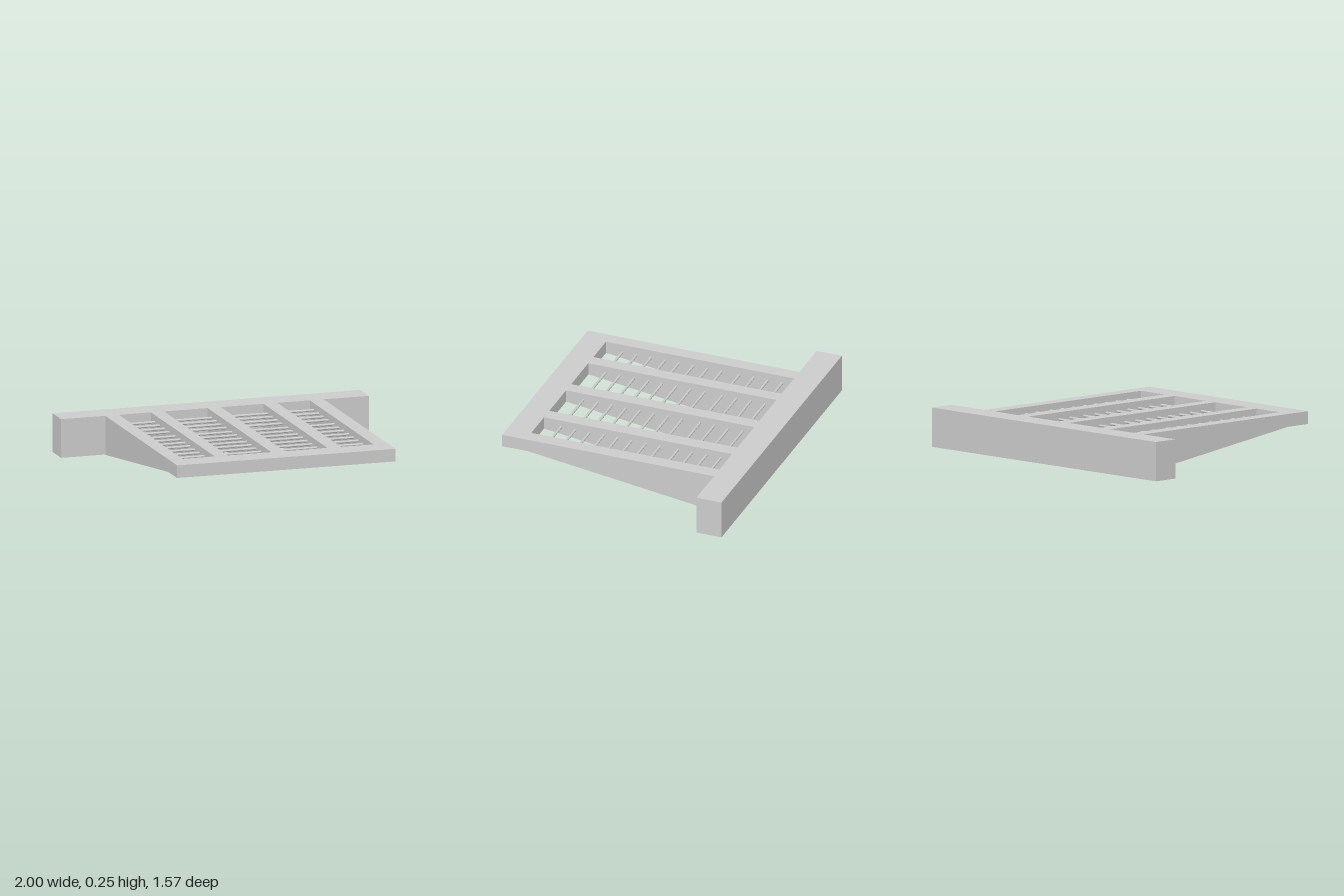
import * as THREE from 'three';

export function createModel() {
  const group = new THREE.Group();
  const material = new THREE.MeshStandardMaterial({ color: 0xcccccc, flatShading: true });
  const top = 0.245, lip = 0.165;      // upper surface, underside of the front beam
  const back = -0.62, front = 0.63;    // ends of the openings

  const add = (name, geometry) => {
    const mesh = new THREE.Mesh(geometry, material);
    mesh.name = name;
    group.add(mesh);
    return mesh;
  };
  const box = (name, x0, x1, y0, y1, z0, z1) =>
    add(name, new THREE.BoxGeometry(x1 - x0, y1 - y0, z1 - z0))
      .position.set((x0 + x1) / 2, (y0 + y1) / 2, (z0 + z1) / 2);

  // Wide beam across the back and thin beam across the front
  box('backBeam', -1, 1, 0, top, -0.787, back);
  box('frontBeam', -0.713, 0.706, lip, top, front, 0.787);

  // Tapered ribs: side profile in (z, y), extruded along x
  const profile = new THREE.Shape([
    [back, 0], [-0.605, 0], [0.615, lip], [front, lip], [front, top], [back, top],
  ].map(([z, y]) => new THREE.Vector2(z, y)));
  const ribs = [[-0.713, -0.625], [-0.416, -0.332], [-0.048, 0.038], [0.316, 0.405], [0.616, 0.706]];
  for (const [x0, x1] of ribs) {
    const rib = new THREE.ExtrudeGeometry(profile, { depth: x1 - x0, bevelEnabled: false });
    rib.rotateY(-Math.PI / 2).translate(x1, 0, 0);
    add('rib', rib);
  }

  // Thin rods running through all the ribs, in three sets of four
  for (const start of [-0.543, -0.142, 0.233]) {
    for (let i = 0; i < 4; i++) {
      const rod = new THREE.CylinderGeometry(0.008, 0.008, 1.24, 10);
      rod.rotateZ(Math.PI / 2).translate(0.005, 0.2, start + i * 0.0945);
      add('rod', rod);
    }
  }
  return group;
}
